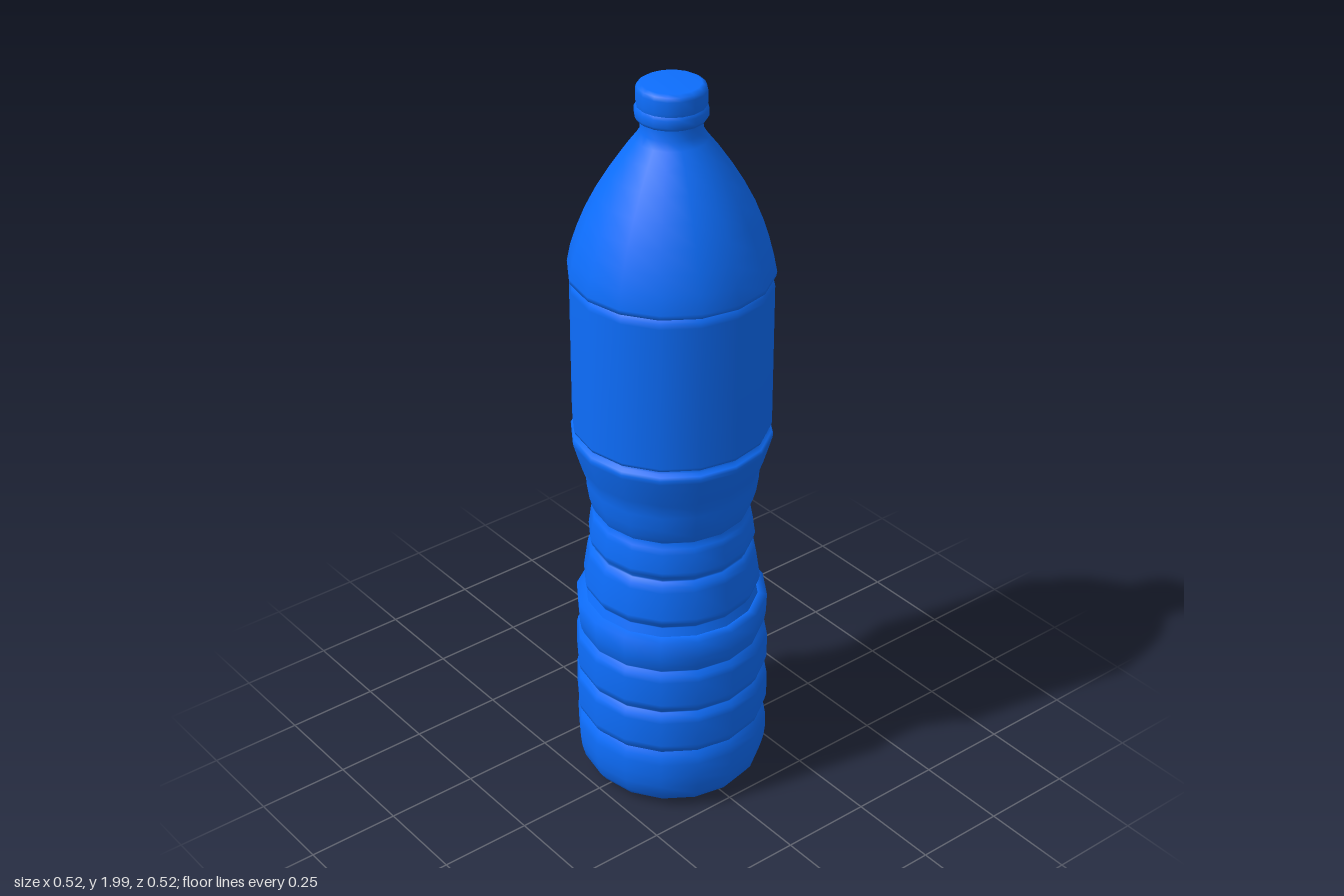
import * as THREE from 'three';

const SIDES = 16;

export function createModel() {
  const group = new THREE.Group();
  const material = new THREE.MeshStandardMaterial({ color: 0x0d6efd });

  // Turns a bottom-to-top [radius, y] profile into a named 16-sided part
  const addLathe = (name, profile) => {
    const points = profile.map(([r, y]) => new THREE.Vector2(r, y));
    const mesh = new THREE.Mesh(new THREE.LatheGeometry(points, SIDES), material);
    mesh.name = name;
    group.add(mesh);
  };

  // Rounded rib between two grooves; the waist ribs change radius upward
  const rib = (y0, y1, r0, r1) => [
    [r0 - 0.014, y0], [r0 - 0.004, y0 + 0.014], [r0, y0 + 0.03],
    [r1, y1 - 0.03], [r1 - 0.004, y1 - 0.014], [r1 - 0.014, y1 - 0.002],
  ];

  // Rounded foot with a flat underside
  addLathe('base', [
    [0, 0.006], [0.15, 0.006], [0.195, 0.01], [0.225, 0.025], [0.243, 0.05],
    [0.252, 0.085], [0.256, 0.12], [0.256, 0.16], [0.252, 0.182], [0.243, 0.198],
  ]);

  // Straight ribs of the lower body
  addLathe('lowerRibs', [
    ...rib(0.198, 0.33, 0.257, 0.257),
    ...rib(0.33, 0.46, 0.256, 0.255),
    [0.241, 0.46], [0.247, 0.475], [0.251, 0.5], [0.253, 0.555], [0.228, 0.56],
  ]);

  // Ribs of the gripping waist
  addLathe('waistRibs', [
    [0.228, 0.56], [0.22, 0.583],
    ...rib(0.585, 0.72, 0.233, 0.222),
    ...rib(0.72, 0.83, 0.218, 0.211),
    [0.203, 0.833],
  ]);

  // Flare from the waist up to the label
  addLathe('waistFlare', [
    [0.203, 0.833], [0.211, 0.85], [0.219, 0.88], [0.225, 0.92], [0.226, 0.94],
    [0.235, 0.965], [0.247, 1.005], [0.257, 1.04], [0.259, 1.052],
    [0.255, 1.06], [0.243, 1.064], [0.243, 1.076],
  ]);

  // Smooth label band
  addLathe('label', [
    [0.243, 1.074], [0.252, 1.076], [0.255, 1.085], [0.255, 1.28],
    [0.255, 1.475], [0.252, 1.488], [0.246, 1.496],
  ]);

  // Domed shoulder and neck
  addLathe('shoulder', [
    [0.246, 1.496], [0.257, 1.502], [0.259, 1.515], [0.25, 1.56], [0.234, 1.61],
    [0.212, 1.665], [0.184, 1.72], [0.151, 1.775], [0.117, 1.825], [0.09, 1.86],
    [0.077, 1.88], [0.076, 1.91],
  ]);

  // Cap with a tamper ring
  addLathe('capRing', [
    [0.074, 1.907], [0.085, 1.911], [0.09, 1.92], [0.09, 1.938], [0.085, 1.946],
  ]);
  addLathe('cap', [
    [0.085, 1.944], [0.087, 1.955], [0.087, 1.984], [0.083, 1.994], [0.073, 2], [0, 2],
  ]);

  return group;
}
